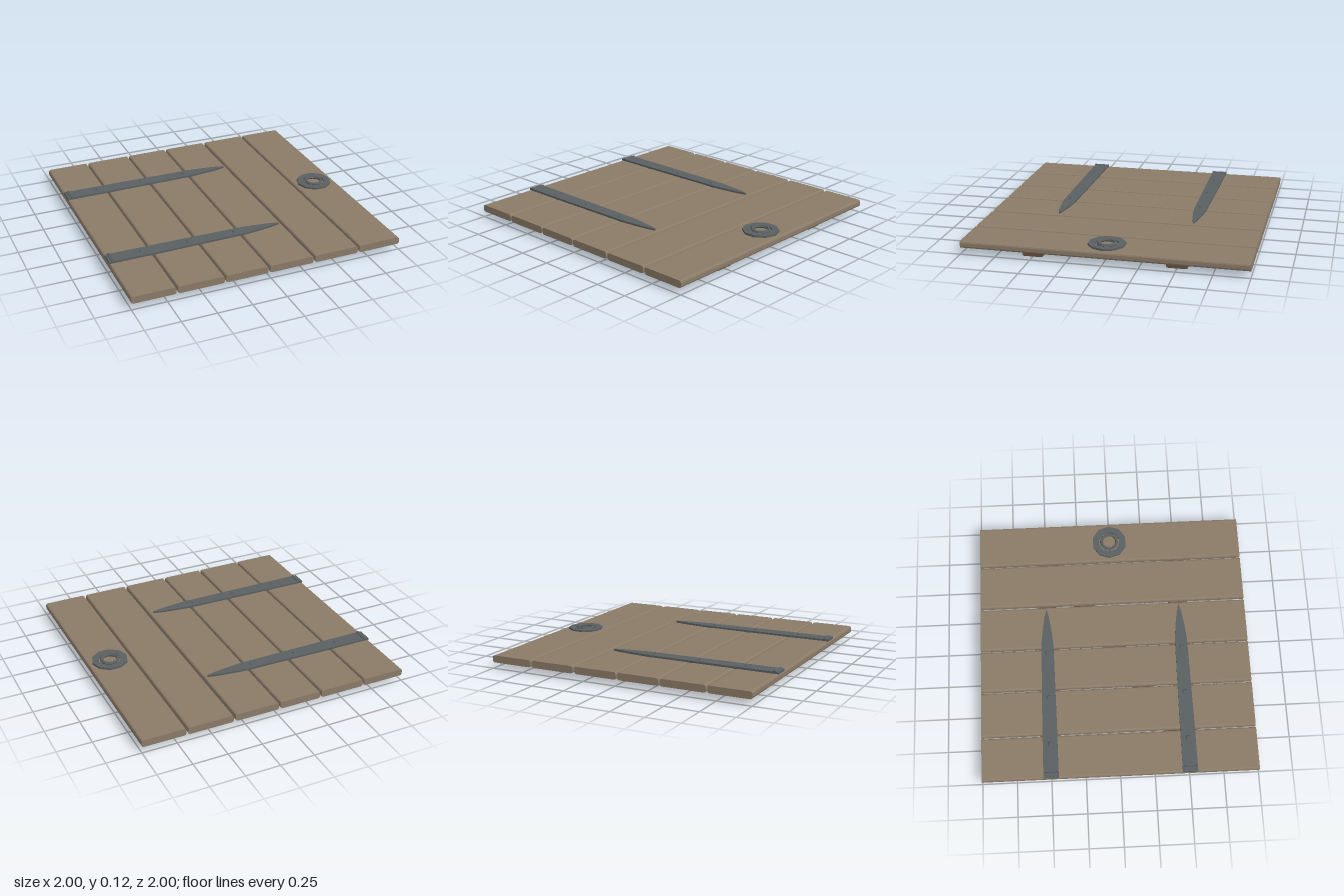
import * as THREE from 'three';

const mat = (color) => new THREE.MeshStandardMaterial({ color, flatShading: true });
const wood = mat(0x8b7b68), darkWood = mat(0x6a4f3c), iron = mat(0x5a5f62);

function add(parent, name, geometry, material, x = 0, y = 0, z = 0) {
  const mesh = new THREE.Mesh(geometry, material);
  mesh.name = name;
  mesh.position.set(x, y, z);
  parent.add(mesh);
  return mesh;
}

// Board with eased long edges, running along z and centred on the origin
function board(width, height, length, r = 0.014) {
  const s = new THREE.Shape();
  const w = width / 2 - r, h = height / 2 - r;
  [[w, h], [-w, h], [-w, -h], [w, -h]].forEach(([cx, cy], corner) => {
    for (let k = 0; k <= 2; k++) {
      const a = (corner + k / 2) * Math.PI / 2;
      const x = cx + r * Math.cos(a), y = cy + r * Math.sin(a);
      if (corner === 0 && k === 0) s.moveTo(x, y); else s.lineTo(x, y);
    }
  });
  s.closePath();
  return new THREE.ExtrudeGeometry(s, { depth: length, bevelEnabled: false })
    .translate(0, 0, -length / 2);
}

// Flat outline in the ground plane, given thickness upwards
function plate(shape, thickness) {
  return new THREE.ExtrudeGeometry(shape, { depth: thickness, bevelEnabled: false })
    .rotateX(-Math.PI / 2);
}

function polygonPoints(radius, sides) {
  return Array.from({ length: sides }, (_, i) => {
    const a = i / sides * Math.PI * 2;
    return new THREE.Vector2(radius * Math.cos(a), radius * Math.sin(a));
  });
}

function strapHinge() {
  const hinge = new THREE.Group();
  hinge.name = 'strapHinge';
  const half = [[-1, 0.055], [-0.6, 0.053], [0.01, 0.045], [0.12, 0.034], [0.23, 0.018], [0.295, 0.002]];
  const outline = [...half, ...half.map(([x, z]) => [x, -z]).reverse()];
  const strap = new THREE.Shape(outline.map(([x, z]) => new THREE.Vector2(x, z)));
  add(hinge, 'strap', plate(strap, 0.016), iron, 0, 0.094, 0);
  // Hinge barrel across the wide end
  add(hinge, 'hingeBarrel', new THREE.CylinderGeometry(0.016, 0.016, 0.11, 8).rotateX(Math.PI / 2),
    iron, -0.97, 0.103, 0);
  for (const x of [-0.75, -0.4, -0.05]) {
    add(hinge, 'rivet', new THREE.CylinderGeometry(0.012, 0.02, 0.01, 8), iron, x, 0.114, 0);
  }
  return hinge;
}

export function createModel() {
  const model = new THREE.Group();
  model.name = 'plankHatch';

  // Six planks of slightly uneven width
  const planks = [[-1, -0.686], [-0.674, -0.341], [-0.329, -0.019],
    [-0.007, 0.32], [0.336, 0.668], [0.682, 1]];
  for (const [a, b] of planks) {
    add(model, 'plank', board(b - a, 0.052, 2), wood, (a + b) / 2, 0.07, 0);
  }

  // Two battens and a diagonal brace underneath
  for (const z of [-0.5, 0.5]) {
    add(model, 'batten', board(0.145, 0.044, 1.865, 0.01).rotateY(Math.PI / 2), darkWood, 0, 0.022, z);
  }
  add(model, 'brace', board(0.13, 0.036, 1.62, 0.009).rotateY(Math.PI / 2 + 0.555),
    darkWood, 0, 0.026, 0);

  // Strap hinges
  for (const z of [-0.5, 0.5]) {
    const hinge = strapHinge();
    hinge.position.z = z;
    model.add(hinge);
  }

  // Ring pull with its ten-sided backing plate
  const pull = new THREE.Group();
  pull.name = 'ringPull';
  pull.position.x = 0.84;
  const backing = new THREE.Shape(polygonPoints(0.131, 10));
  backing.holes.push(new THREE.Path(polygonPoints(0.081, 10).reverse()));
  add(pull, 'backingPlate', plate(backing, 0.016), iron, 0, 0.094, 0);
  add(pull, 'ring', new THREE.TorusGeometry(0.059, 0.012, 6, 16).rotateX(Math.PI / 2), iron, 0, 0.108, 0);
  add(pull, 'staple', new THREE.BoxGeometry(0.03, 0.016, 0.02), iron, -0.075, 0.104, 0);
  model.add(pull);

  return model;
}
